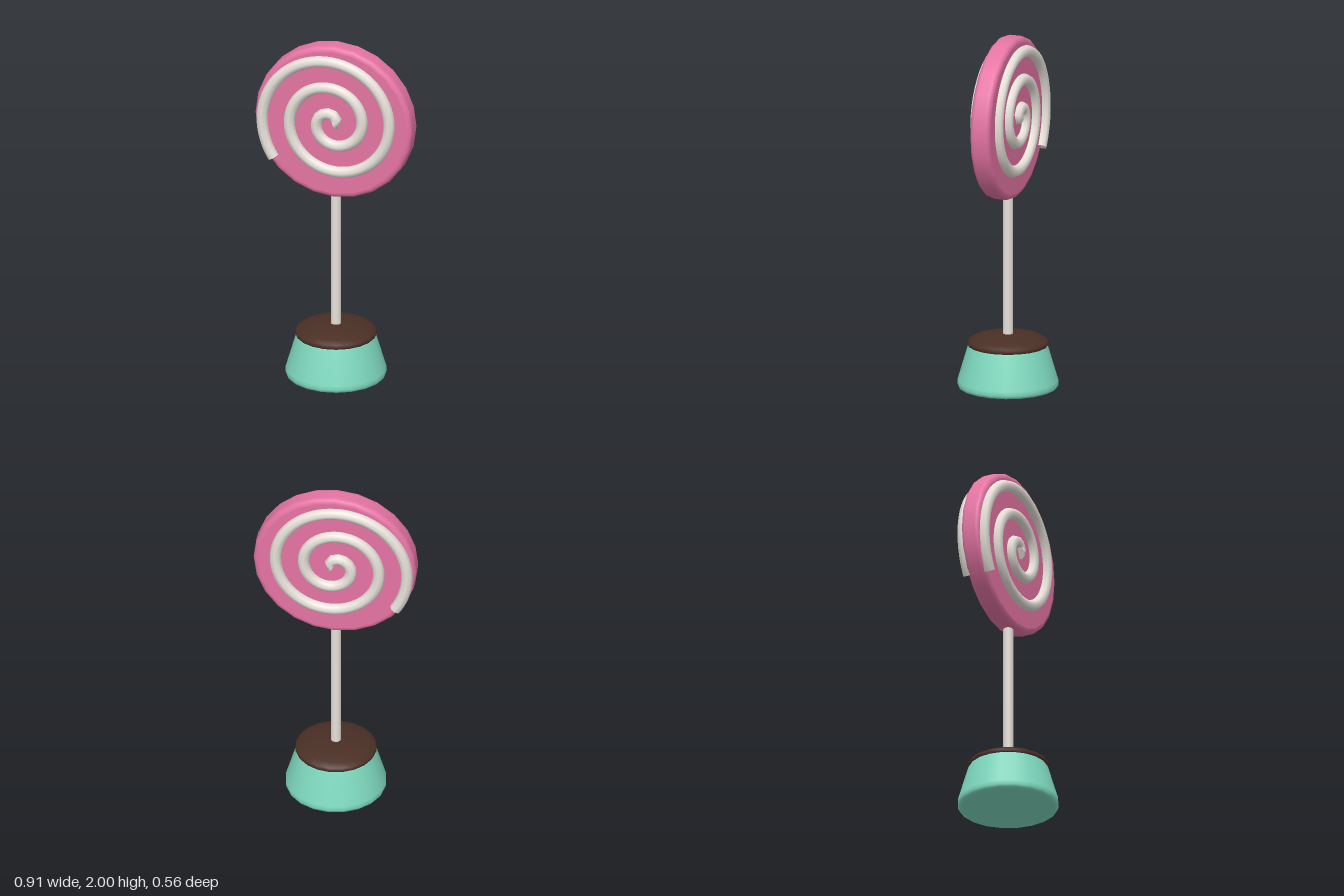
import * as THREE from 'three';

const mat = (name, color) => {
  const m = new THREE.MeshStandardMaterial({ color });
  m.name = name;
  return m;
};

// Revolved profile; repeating a point keeps that edge sharp
const lathe = (points, sides) =>
  new THREE.LatheGeometry(points.map(([r, y]) => new THREE.Vector2(r, y)), sides);

// Flat spiral that winds outwards from the middle of the candy
class Spiral extends THREE.Curve {
  constructor(z) {
    super();
    this.z = z;
  }
  getPoint(t, target = new THREE.Vector3()) {
    const turns = 2.6 * t;
    const r = 0.012 + 0.158 * turns;
    const a = turns * Math.PI * 2;
    return target.set(r * Math.cos(a), r * Math.sin(a), this.z);
  }
}

export function createModel() {
  const model = new THREE.Group();
  model.name = 'lollipopStand';
  const pink = mat('pink candy', 0xe574a3);
  const cream = mat('cream white', 0xece6de);
  const teal = mat('mint green', 0x7fdabf);
  const brown = mat('chocolate brown', 0x4a2f25);

  const add = (parent, name, geometry, material) => {
    const mesh = new THREE.Mesh(geometry, material);
    mesh.name = name;
    parent.add(mesh);
    return mesh;
  };

  // Tapered pot with a softened foot
  add(model, 'pot', lathe([
    [0, 0], [0.262, 0], [0.262, 0], [0.275, 0.006], [0.281, 0.02], [0.279, 0.045],
    [0.224, 0.232], [0.215, 0.25], [0.215, 0.25], [0, 0.25],
  ], 20), teal);

  // Domed filling on top of the pot
  add(model, 'filling', lathe([
    [0, 0.243], [0.222, 0.243], [0.222, 0.243], [0.228, 0.255], [0.222, 0.268],
    [0.19, 0.286], [0.13, 0.301], [0.07, 0.307], [0, 0.309],
  ], 20), brown);

  // Stick
  const stick = add(model, 'stick', new THREE.CylinderGeometry(0.029, 0.029, 0.9, 12), cream);
  stick.position.y = 0.7;

  // Candy head: round disc with rounded rim, spirals on both faces
  const candy = new THREE.Group();
  candy.name = 'candy';
  candy.position.y = 1.544;
  model.add(candy);

  const rim = [];
  for (let i = 0; i <= 4; i++) {
    const a = (i / 4) * Math.PI / 2;
    rim.push([0.428 + 0.028 * Math.sin(a), -0.03 - 0.028 * Math.cos(a)]);
  }
  const upper = rim.map(([r, y]) => [r, -y]).reverse();
  const disc = add(candy, 'disc', lathe(
    [[0, -0.058], rim[0], ...rim, ...upper, upper[4], [0, 0.058]], 24), pink);
  disc.rotation.x = Math.PI / 2;

  for (const [name, z] of [['frontSpiral', 0.065], ['backSpiral', -0.065]]) {
    const curve = new Spiral(z);
    add(candy, name, new THREE.TubeGeometry(curve, 120, 0.033, 8), cream);
    // Closed ends
    for (const t of [0, 1]) {
      const cap = add(candy, name + 'End', new THREE.CircleGeometry(0.033, 8), cream);
      const p = curve.getPoint(t);
      const dir = curve.getTangent(t).multiplyScalar(t ? 1 : -1);
      cap.position.copy(p);
      cap.quaternion.setFromUnitVectors(new THREE.Vector3(0, 0, 1), dir);
    }
  }

  return model;
}
